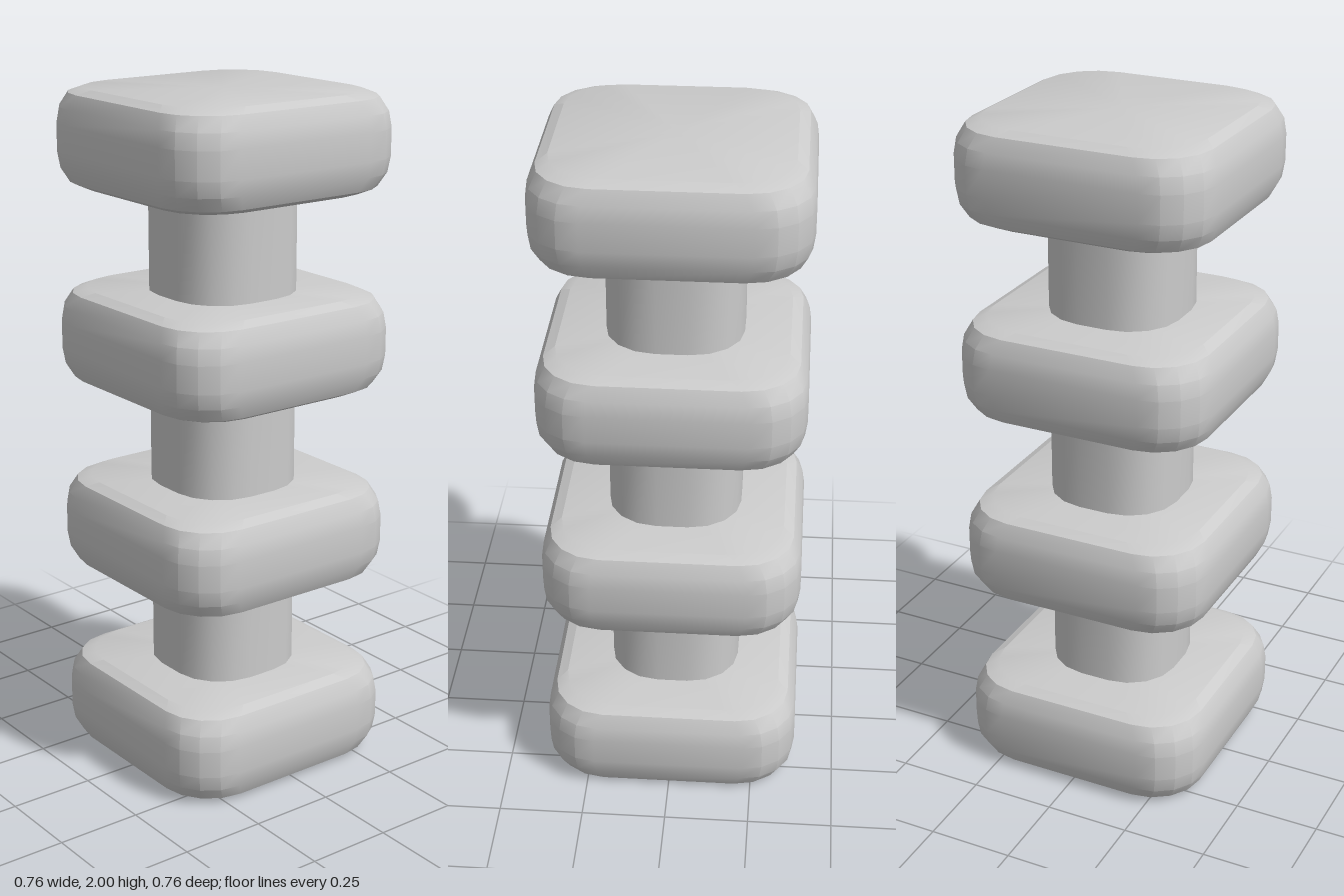
import * as THREE from 'three';
import { toCreasedNormals } from 'three/addons/utils/BufferGeometryUtils.js';

const CORNER_STEPS = 4;

// Rounded-square outline, running from +x towards +z
function outline(half, radius) {
  const points = [];
  const c = half - radius;
  for (let corner = 0; corner < 4; corner++) {
    const mid = Math.PI / 4 + corner * Math.PI / 2;
    const cx = Math.sign(Math.cos(mid)) * c;
    const cz = Math.sign(Math.sin(mid)) * c;
    for (let i = 0; i <= CORNER_STEPS; i++) {
      const a = (corner + i / CORNER_STEPS) * Math.PI / 2;
      points.push([cx + radius * Math.cos(a), cz + radius * Math.sin(a)]);
    }
  }
  return points;
}

// Closed solid through [half width, height] rings, bottom to top
function loft(rings, radius, crease) {
  const positions = [], index = [];
  const n = 4 * (CORNER_STEPS + 1);
  for (const [half, y] of rings) {
    for (const [x, z] of outline(half, radius)) positions.push(x, y, z);
  }
  for (let r = 0; r < rings.length - 1; r++) {
    for (let i = 0; i < n; i++) {
      const a = r * n + i, b = r * n + (i + 1) % n;
      index.push(a, a + n, b, b, a + n, b + n);
    }
  }
  const last = (rings.length - 1) * n;
  const bottom = positions.length / 3, top = bottom + 1;
  positions.push(0, rings[0][1], 0, 0, rings[rings.length - 1][1], 0);
  for (let i = 0; i < n; i++) {
    const j = (i + 1) % n;
    index.push(bottom, i, j, top, last + j, last + i);
  }
  const geometry = new THREE.BufferGeometry();
  geometry.setAttribute('position', new THREE.Float32BufferAttribute(positions, 3));
  geometry.setIndex(index);
  return toCreasedNormals(geometry, crease);
}

export function createModel() {
  const model = new THREE.Group();
  model.name = 'blockColumn';
  const material = new THREE.MeshStandardMaterial({ color: 0xcccccc });

  const blockHeight = 0.28;
  const spacing = (2 - blockHeight) / 3;

  // Block profile, mirrored about its mid-height
  const lower = [[0.325, 0], [0.355, 0.015], [0.374, 0.055], [0.38, 0.1]];
  const upper = lower.map(([half, y]) => [half, blockHeight - y]).reverse();
  const blockGeometry = loft([...lower, ...upper], 0.155, 0.42);

  // Narrow shaft, sunk a little into the blocks at both ends
  const shaftGeometry = loft([[0.195, blockHeight - 0.03], [0.195, spacing + 0.03]], 0.15, 0.6);

  for (let i = 0; i < 4; i++) {
    const block = new THREE.Mesh(blockGeometry, material);
    block.name = `block${i + 1}`;
    block.position.y = i * spacing;
    model.add(block);
    if (i === 3) break;
    const shaft = new THREE.Mesh(shaftGeometry, material);
    shaft.name = `shaft${i + 1}`;
    shaft.position.y = i * spacing;
    model.add(shaft);
  }
  return model;
}
